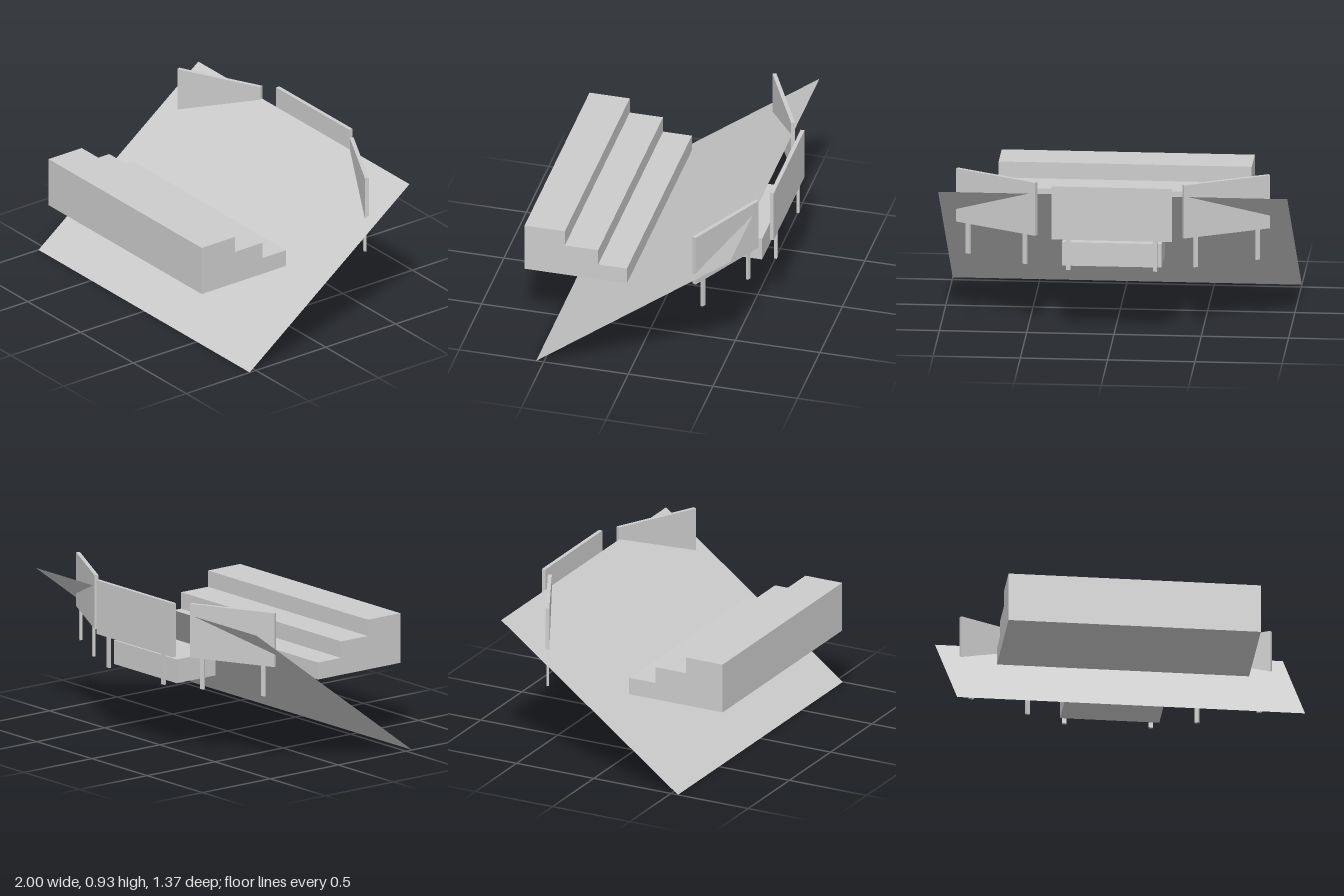
import * as THREE from 'three';

const grey = new THREE.MeshStandardMaterial({ color: 0xcccccc, flatShading: true });
const thin = new THREE.MeshStandardMaterial({ color: 0xcccccc, flatShading: true, side: THREE.DoubleSide });

function box(name, size, position) {
  const mesh = new THREE.Mesh(new THREE.BoxGeometry(...size), grey);
  mesh.name = name;
  mesh.position.set(...position);
  return mesh;
}

// Upright panel on two posts, running between two plan points [x, z]
function panel(name, [x0, z0], [x1, z1]) {
  const length = Math.hypot(x1 - x0, z1 - z0);
  const group = new THREE.Group();
  group.name = name;
  group.add(box('board', [length, 0.317, 0.023], [0, 0.774, 0]));
  for (const side of [-1, 1]) {
    group.add(box('post', [0.025, 0.18, 0.015], [side * length * 0.36, 0.525, 0]));
  }
  group.position.set((x0 + x1) / 2, 0, (z0 + z1) / 2);
  group.rotation.y = -Math.atan2(z1 - z0, x1 - x0);
  return group;
}

export function createModel() {
  const model = new THREE.Group();

  // Sloping ground sheet, high at the back
  const rise = 0.86, back = -0.6, front = 0.545;
  const depth = front - back;
  const ground = new THREE.Mesh(new THREE.PlaneGeometry(2, Math.hypot(rise, depth)), thin);
  ground.name = 'slopingGround';
  ground.position.set(0, rise / 2, (front + back) / 2);
  ground.rotation.x = -Math.atan2(depth, rise);
  model.add(ground);

  // Stepped seating, profile drawn as (-z, y) and extruded along x
  const profile = [[-0.685, 0.435], [-0.08, 0.435], [-0.08, 0.535], [-0.25, 0.535],
    [-0.25, 0.632], [-0.447, 0.632], [-0.447, 0.728], [-0.685, 0.728]];
  const shape = new THREE.Shape(profile.map(([x, y]) => new THREE.Vector2(x, y)));
  const steps = new THREE.Mesh(new THREE.ExtrudeGeometry(shape, { depth: 1.45, bevelEnabled: false }), grey);
  steps.name = 'steppedSeating';
  steps.rotation.y = Math.PI / 2;
  steps.position.x = -0.72;
  model.add(steps);

  // Low platform at the back
  model.add(box('platform', [0.57, 0.14, 0.285], [0.005, 0.506, -0.46]));

  // Three panels around the platform
  model.add(
    panel('rightPanel', [-0.88, -0.365], [-0.405, -0.602]),
    panel('backPanel', [-0.345, -0.674], [0.345, -0.674]),
    panel('leftPanel', [0.437, -0.612], [0.908, -0.364]),
  );
  return model;
}
